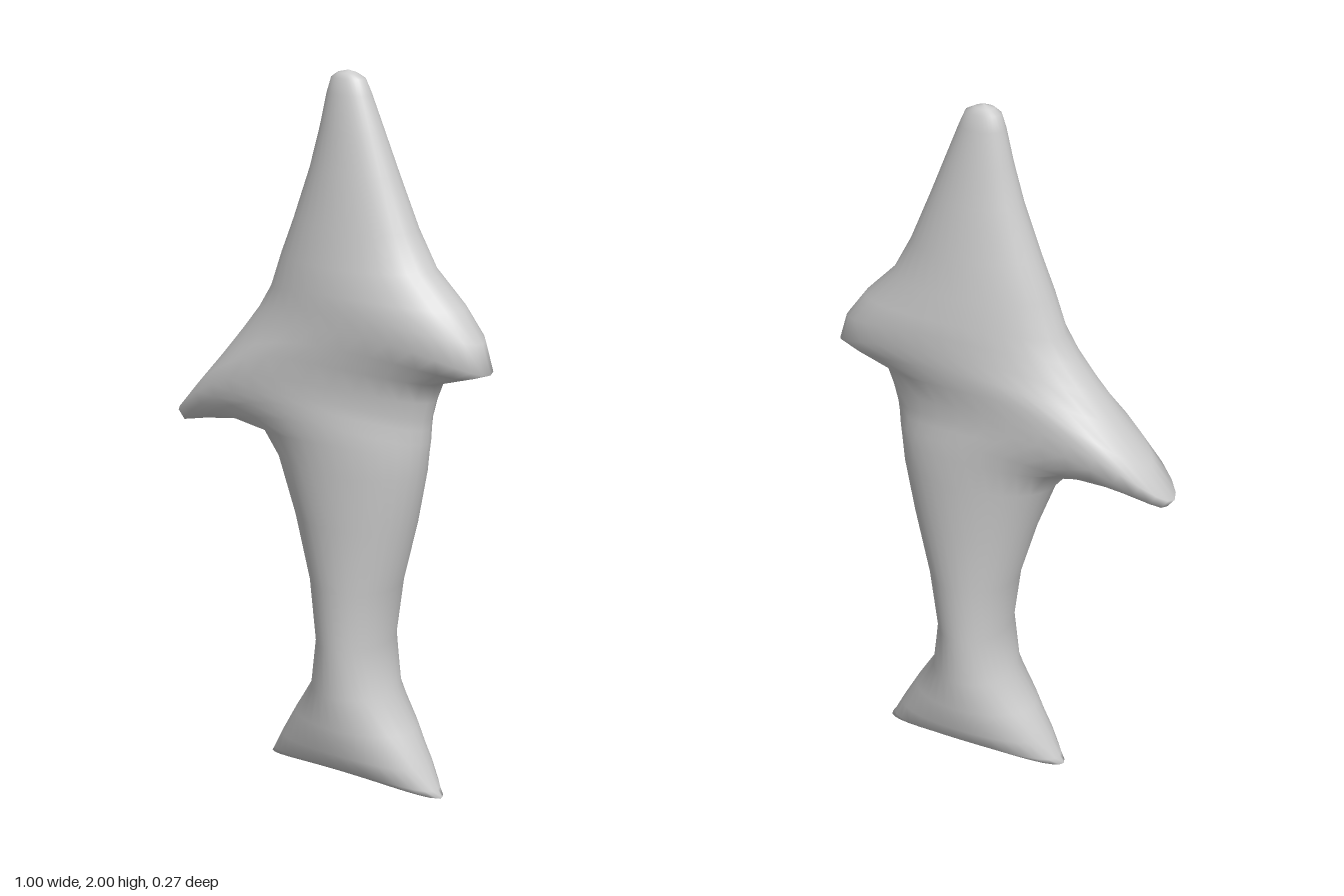
import * as THREE from 'three';

// Level slices, nose to shoulders: height, left x, right x
const nose = [
  [2.0, 0.06, 0.06], [1.993, 0.03, 0.085], [1.98, 0.012, 0.11], [1.94, 0, 0.128],
  [1.85, -0.02, 0.165], [1.74, -0.05, 0.21], [1.6, -0.1, 0.27], [1.5, -0.14, 0.325],
];

// Bent slices that droop into the fins: left x, left y, middle y, right x, right y
const fins = [
  [-0.175, 1.4, 1.43, 0.415, 1.41],
  [-0.215, 1.335, 1.385, 0.475, 1.33],
  [-0.27, 1.265, 1.34, 0.5, 1.25],
  [-0.34, 1.18, 1.29, 0.45, 1.232],
  [-0.43, 1.07, 1.24, 0.355, 1.203],
  [-0.5, 0.985, 1.18, 0.335, 1.15],
  [-0.48, 0.96, 1.14, 0.322, 1.1],
  [-0.4, 0.98, 1.11, 0.318, 1.07],
  [-0.3, 1.0, 1.07, 0.315, 1.03],
  [-0.2, 0.995, 1.02, 0.31, 1.0],
];

// Level slices, belly to tail stem: height, left x, right x
const trunk = [
  [0.935, -0.15, 0.302], [0.78, -0.09, 0.27], [0.6, -0.035, 0.222],
  [0.43, -0.01, 0.195], [0.285, -0.03, 0.215],
];

// Symmetric fluke slices: half width, tip y, middle y
const flukes = [
  [0.187, 0.18, 0.19], [0.24, 0.085, 0.11], [0.271, 0.025, 0.06],
  [0.284, 0.005, 0.038], [0.279, 0, 0.03],
];
const flukeX = 0.093;

const levelSlice = ([y, left, right]) => [left, y, y, right, y];
const flukeSlice = ([half, tipY, midY]) => [flukeX - half, tipY, midY, flukeX + half, tipY];

// Half depth at a height: tapers toward the nose, rounds off at both ends
function halfDepth(y) {
  const noseStep = THREE.MathUtils.clamp((2 - y) / 0.04, 0, 1);
  const tailStep = THREE.MathUtils.clamp((y - 0.03) / 0.25, 0, 1);
  const noseRound = Math.sqrt(1 - (1 - noseStep) ** 2);
  const tailRound = (1 - (1 - tailStep) ** 3) ** 0.25;
  return Math.min(0.135, 0.045 + 0.17 * (1.94 - y)) * noseRound * tailRound;
}

// Joins elliptical rings, bent in a parabola, into one smooth skin
function loft(slices, sides) {
  const positions = [];
  const index = [];
  slices.forEach(([leftX, leftY, midY, rightX, rightY], i) => {
    for (let j = 0; j < sides; j++) {
      const angle = (j / sides) * Math.PI * 2;
      const u = Math.cos(angle);
      const endY = u < 0 ? leftY : rightY;
      positions.push(
        (leftX + rightX) / 2 + ((rightX - leftX) / 2) * u,
        midY + (endY - midY) * u * u,
        halfDepth(midY) * Math.sin(angle)
      );
      if (i === slices.length - 1) continue;
      const a = i * sides + j;
      const b = i * sides + ((j + 1) % sides);
      index.push(a, b, a + sides, b, b + sides, a + sides);
    }
  });
  const geometry = new THREE.BufferGeometry();
  geometry.setAttribute('position', new THREE.Float32BufferAttribute(positions, 3));
  geometry.setIndex(index);
  geometry.computeVertexNormals();
  return geometry;
}

export function createModel() {
  const group = new THREE.Group();
  group.name = 'dolphin';

  // Body, fins and flukes flow into one another
  const slices = [
    ...nose.map(levelSlice), ...fins, ...trunk.map(levelSlice), ...flukes.map(flukeSlice),
  ];
  const body = new THREE.Mesh(
    loft(slices, 32),
    new THREE.MeshStandardMaterial({ color: 0xcccccc })
  );
  body.name = 'bodyWithFinsAndTail';
  group.add(body);
  return group;
}
